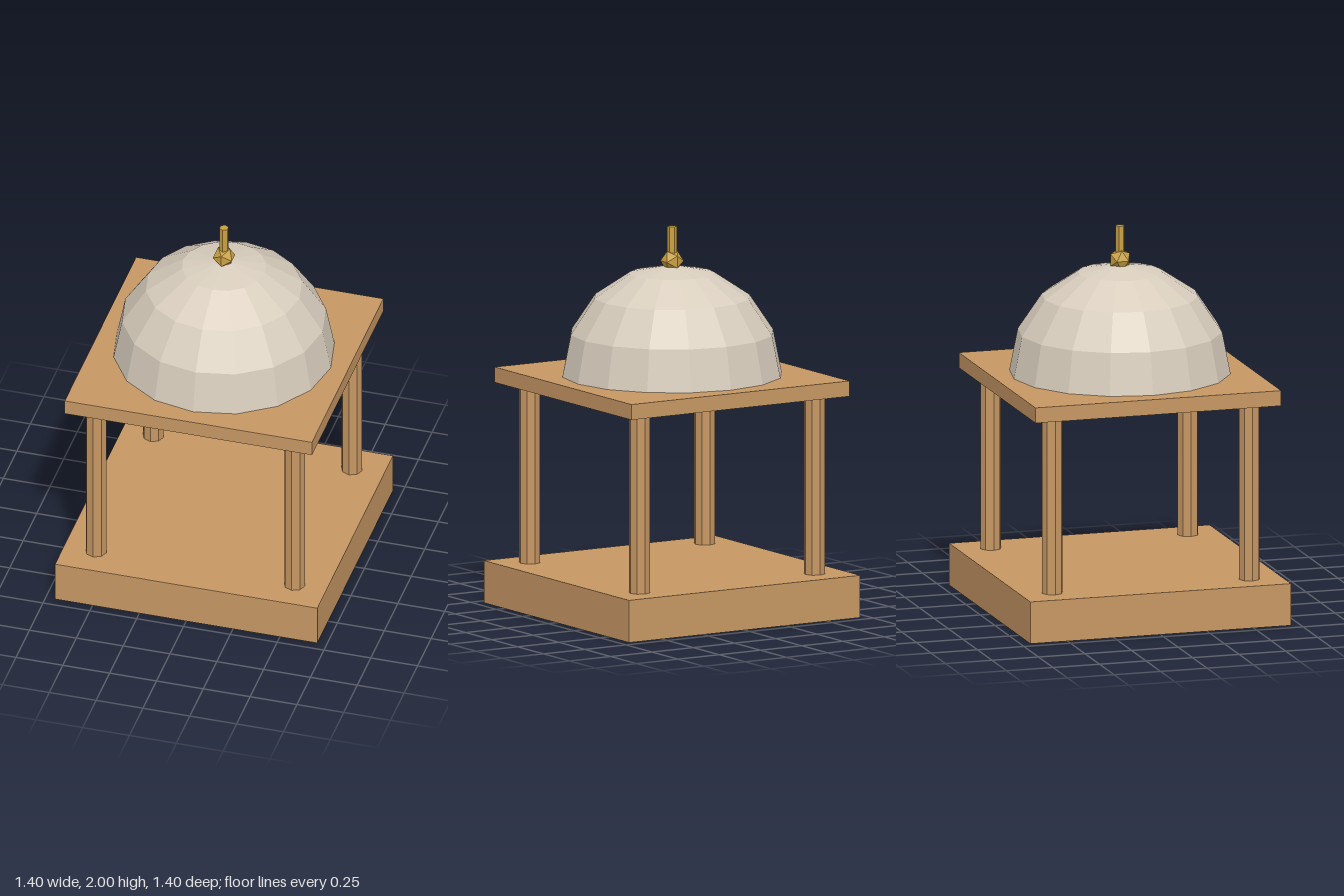
import * as THREE from 'three';

export function createModel() {
  const model = new THREE.Group();
  model.name = 'domedPavilion';

  const material = (name, color) => {
    const m = new THREE.MeshStandardMaterial({ color, flatShading: true });
    m.name = name;
    return m;
  };
  const sandstone = material('sandstone', 0xc69763);
  const paleStone = material('paleStone', 0xd8cdbd);
  const gold = material('gold', 0xc9a042);

  const add = (name, geometry, mat, x, y, z) => {
    const mesh = new THREE.Mesh(geometry, mat);
    mesh.name = name;
    mesh.position.set(x, y, z);
    model.add(mesh);
    return mesh;
  };

  // Square base and roof slab
  add('base', new THREE.BoxGeometry(1.4, 0.22, 1.4), sandstone, 0, 0.11, 0);
  add('roofSlab', new THREE.BoxGeometry(1.32, 0.08, 1.32), sandstone, 0, 1.19, 0);

  // Four eight-sided corner columns
  const column = new THREE.CylinderGeometry(0.055, 0.055, 0.93, 8);
  for (const x of [-0.53, 0.53]) {
    for (const z of [-0.53, 0.53]) add('column', column, sandstone, x, 0.685, z);
  }

  // Faceted half-sphere dome
  const dome = new THREE.SphereGeometry(0.57, 16, 4, 0, Math.PI * 2, 0, Math.PI / 2);
  add('dome', dome, paleStone, 0, 1.23, 0);

  // Finial: faceted ball with a thin six-sided rod
  add('finialBall', new THREE.IcosahedronGeometry(0.06, 0), gold, 0, 1.82, 0);
  add('finialRod', new THREE.CylinderGeometry(0.025, 0.025, 0.18, 6), gold, 0, 1.91, 0);

  return model;
}
